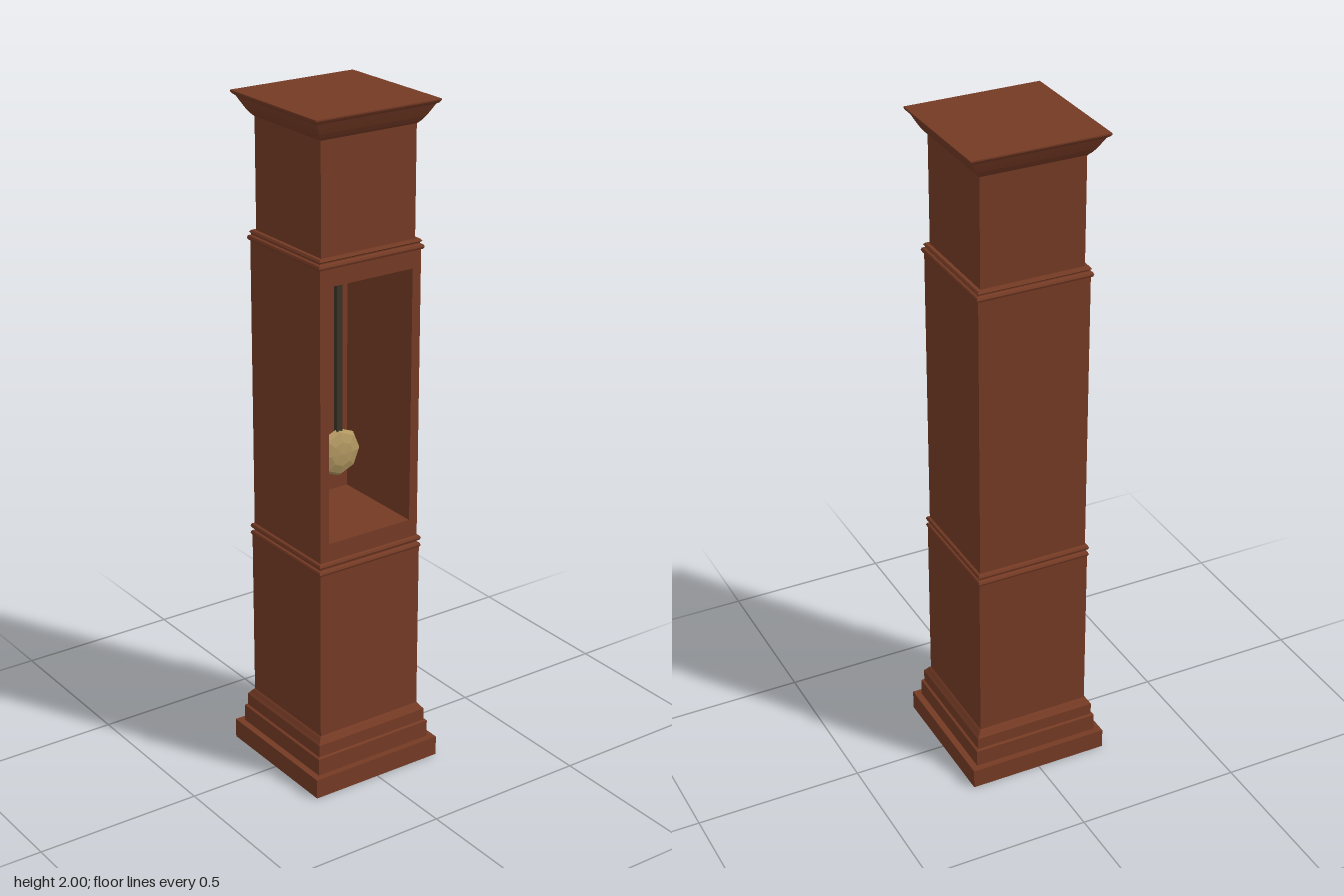
import * as THREE from 'three';

const wood = new THREE.MeshStandardMaterial({ color: 0x743a24, flatShading: true });
const iron = new THREE.MeshStandardMaterial({ color: 0x3a3226, flatShading: true });
const brass = new THREE.MeshStandardMaterial({ color: 0xb09660, flatShading: true });

function add(parent, name, geometry, material) {
  const mesh = new THREE.Mesh(geometry, material);
  mesh.name = name;
  parent.add(mesh);
  return mesh;
}

// Square turning: profile of [half width, height], bottom to top, closed at both ends
function squareTurning(profile) {
  const pts = [[0, profile[0][1]], ...profile, [0, profile[profile.length - 1][1]]];
  return new THREE.LatheGeometry(
    pts.map(([w, y]) => new THREE.Vector2(w * Math.SQRT2, y)), 4, Math.PI / 4);
}

// Small rounded moulding strip running round the case
const bead = (w, y, r) => [
  [w, y - r], [w + r * 0.7, y - r * 0.7], [w + r, y], [w + r * 0.7, y + r * 0.7], [w, y + r]];

function rectPath(path, w, y0, y1) {
  path.moveTo(-w, y0);
  path.lineTo(w, y0);
  path.lineTo(w, y1);
  path.lineTo(-w, y1);
  path.closePath();
  return path;
}

export function createModel() {
  const clock = new THREE.Group();
  clock.name = 'longcaseClock';

  // Stepped plinth and lower case
  add(clock, 'plinth', squareTurning([
    [0.216, 0], [0.216, 0.06], [0.196, 0.06], [0.196, 0.112],
    [0.189, 0.115], [0.189, 0.152], [0.184, 0.158], [0.177, 0.168], [0.173, 0.172]]), wood);
  add(clock, 'lowerCase', squareTurning([[0.173, 0.17], [0.173, 0.69]]), wood);

  // Waist and shoulder mouldings
  add(clock, 'waistMoulding', squareTurning(
    [...bead(0.168, 0.69, 0.009), ...bead(0.168, 0.712, 0.009)]), wood);
  add(clock, 'shoulderMoulding', squareTurning(
    [...bead(0.166, 1.588, 0.009), [0.166, 1.6], [0.17, 1.604], [0.166, 1.61]]), wood);

  // Trunk: four walls round an open-fronted chamber, plus a back panel
  const half = 0.168, opening = 0.14, backThickness = 0.03;
  const trunk = new THREE.Group();
  trunk.name = 'trunk';
  const outline = rectPath(new THREE.Shape(), half, 0.715, 1.585);
  outline.holes.push(rectPath(new THREE.Path(), opening, 0.775, 1.53));
  const walls = new THREE.ExtrudeGeometry(outline, {
    depth: 2 * half - backThickness, bevelEnabled: false });
  walls.translate(0, 0, -half + backThickness);
  add(trunk, 'trunkWalls', walls, wood);
  const back = add(trunk, 'trunkBack',
    new THREE.BoxGeometry(2 * half, 0.87, backThickness), wood);
  back.position.set(0, 1.15, -half + backThickness / 2);
  clock.add(trunk);

  // Hood and coved cornice
  add(clock, 'hood', squareTurning([[0.156, 1.6], [0.156, 1.935]]), wood);
  add(clock, 'cornice', squareTurning([
    [0.156, 1.93], [0.164, 1.938], [0.174, 1.952], [0.184, 1.97],
    [0.192, 1.985], [0.199, 1.99], [0.203, 1.996], [0.203, 2], [0.199, 2]]), wood);

  // Pendulum: rod and flattened bob
  const pendulum = new THREE.Group();
  pendulum.name = 'pendulum';
  const rod = add(pendulum, 'pendulumRod', new THREE.BoxGeometry(0.018, 0.55, 0.014), iron);
  rod.position.y = 1.26;
  const bobShape = new THREE.SphereGeometry(0.073, 8, 6);
  bobShape.rotateX(Math.PI / 2).scale(1, 1, 0.35);
  const bob = add(pendulum, 'pendulumBob', bobShape, brass);
  bob.position.y = 0.968;
  pendulum.position.z = 0.015;
  clock.add(pendulum);

  return clock;
}
